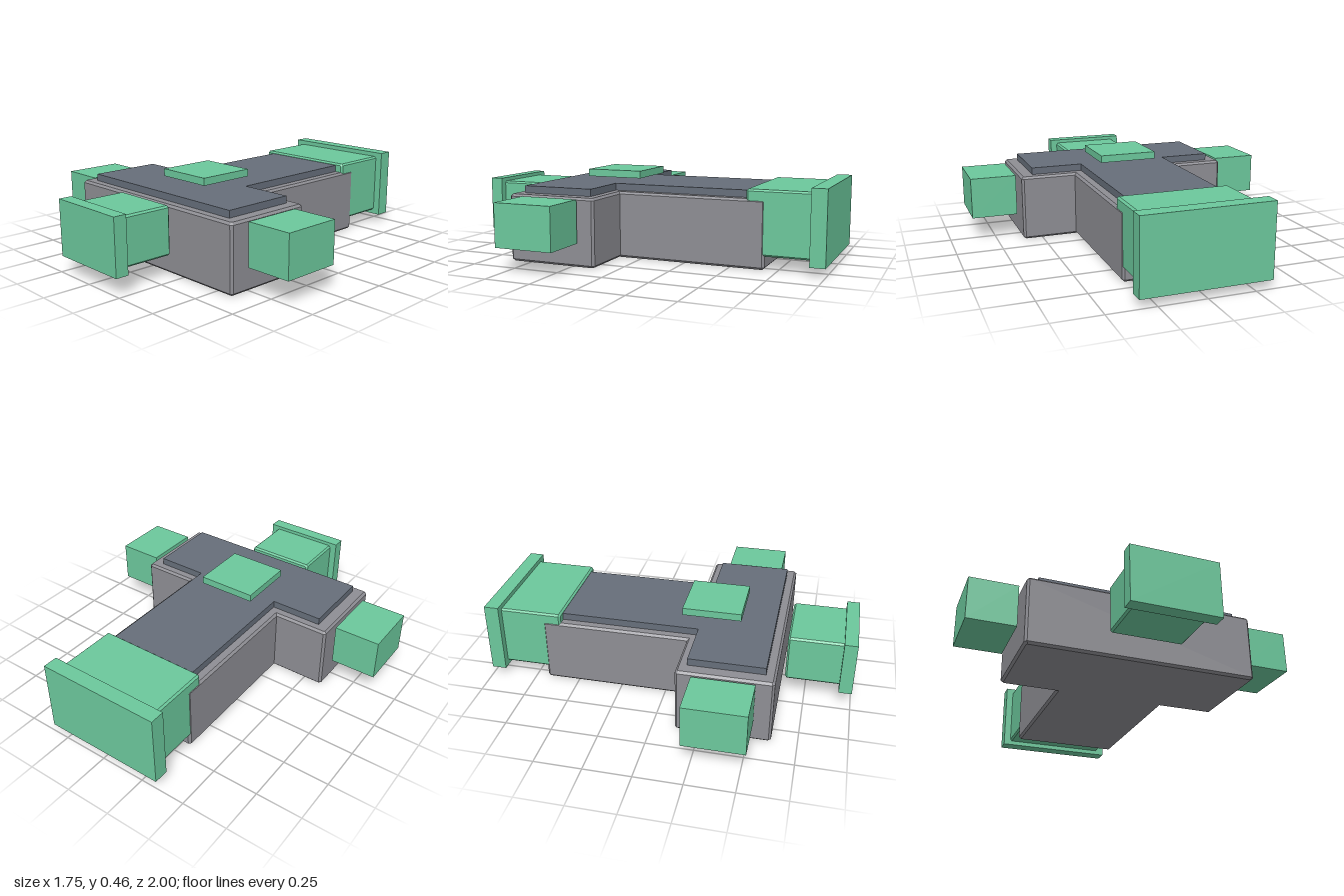
import * as THREE from 'three';

const grey = new THREE.MeshStandardMaterial({ color: 0x8e8e94, flatShading: true });
const slate = new THREE.MeshStandardMaterial({ color: 0x666e7a, flatShading: true });
const green = new THREE.MeshStandardMaterial({ color: 0x6cc89c, flatShading: true });

// Outline with each convex corner cut by c (points run counter-clockwise)
function outline(points, c) {
  const pts = points.map(([x, y]) => new THREE.Vector2(x, y));
  const out = [];
  pts.forEach((p, i) => {
    const a = pts[(i + pts.length - 1) % pts.length].clone().sub(p).normalize();
    const b = pts[(i + 1) % pts.length].clone().sub(p).normalize();
    if (c > 0 && b.cross(a) > 0) {
      out.push(p.clone().addScaledVector(a, c), p.clone().addScaledVector(b, c));
    } else out.push(p);
  });
  return new THREE.Shape(out);
}

// Prism from 0 to depth along z, with chamfered edges staying inside the outline
function prism(points, depth, c) {
  return new THREE.ExtrudeGeometry(outline(points, c), {
    depth: depth - 2 * c, bevelEnabled: c > 0, bevelSegments: 1,
    bevelSize: c, bevelThickness: c, bevelOffset: -c,
  }).translate(0, 0, c);
}

// T-shaped plan, drawn with y = -z
function tPlan(bar, stem, front, inner, back) {
  return [[-bar, -front], [bar, -front], [bar, -inner], [stem, -inner],
    [stem, -back], [-stem, -back], [-stem, -inner], [-bar, -inner]];
}

export function createModel() {
  const group = new THREE.Group();
  const add = (name, geometry, material) => {
    const mesh = new THREE.Mesh(geometry, material);
    mesh.name = name;
    group.add(mesh);
  };
  const box = (name, [x0, x1], [y0, y1], [z0, z1]) => {
    const g = new THREE.BoxGeometry(x1 - x0, y1 - y0, z1 - z0);
    add(name, g.translate((x0 + x1) / 2, (y0 + y1) / 2, (z0 + z1) / 2), green);
  };
  const chamferedBlock = (name, w, y0, y1, z0, z1) => {
    const g = prism([[-w, y0], [w, y0], [w, y1], [-w, y1]], z1 - z0, 0.01);
    add(name, g.translate(0, 0, z0), green);
  };

  // T-shaped body and the roof plate set in from its edge
  add('body', prism(tPlan(0.607, 0.303, 0.617, 0.12, -0.683), 0.36, 0.012).rotateX(-Math.PI / 2), grey);
  add('roofPlate', prism(tPlan(0.538, 0.252, 0.565, 0.17, -0.63), 0.05, 0)
    .rotateX(-Math.PI / 2).translate(0, 0.348, 0), slate);

  // Rear and front connectors with end flanges
  chamferedBlock('rearConnector', 0.3, 0.07, 0.41, -0.93, -0.583);
  box('rearFlange', [-0.34, 0.34], [0.045, 0.435], [-1, -0.92]);
  chamferedBlock('frontConnector', 0.194, 0.112, 0.37, 0.64, 0.94);
  box('frontFlange', [-0.232, 0.232], [0.09, 0.39], [0.93, 1]);

  // Free-standing side blocks
  box('leftBlock', [0.625, 0.877], [0.128, 0.354], [0.205, 0.525]);
  box('rightBlock', [-0.877, -0.625], [0.128, 0.354], [0.205, 0.525]);

  // Panel hovering over the roof
  box('topPanel', [-0.162, 0.162], [0.42, 0.46], [0.065, 0.385]);
  return group;
}
